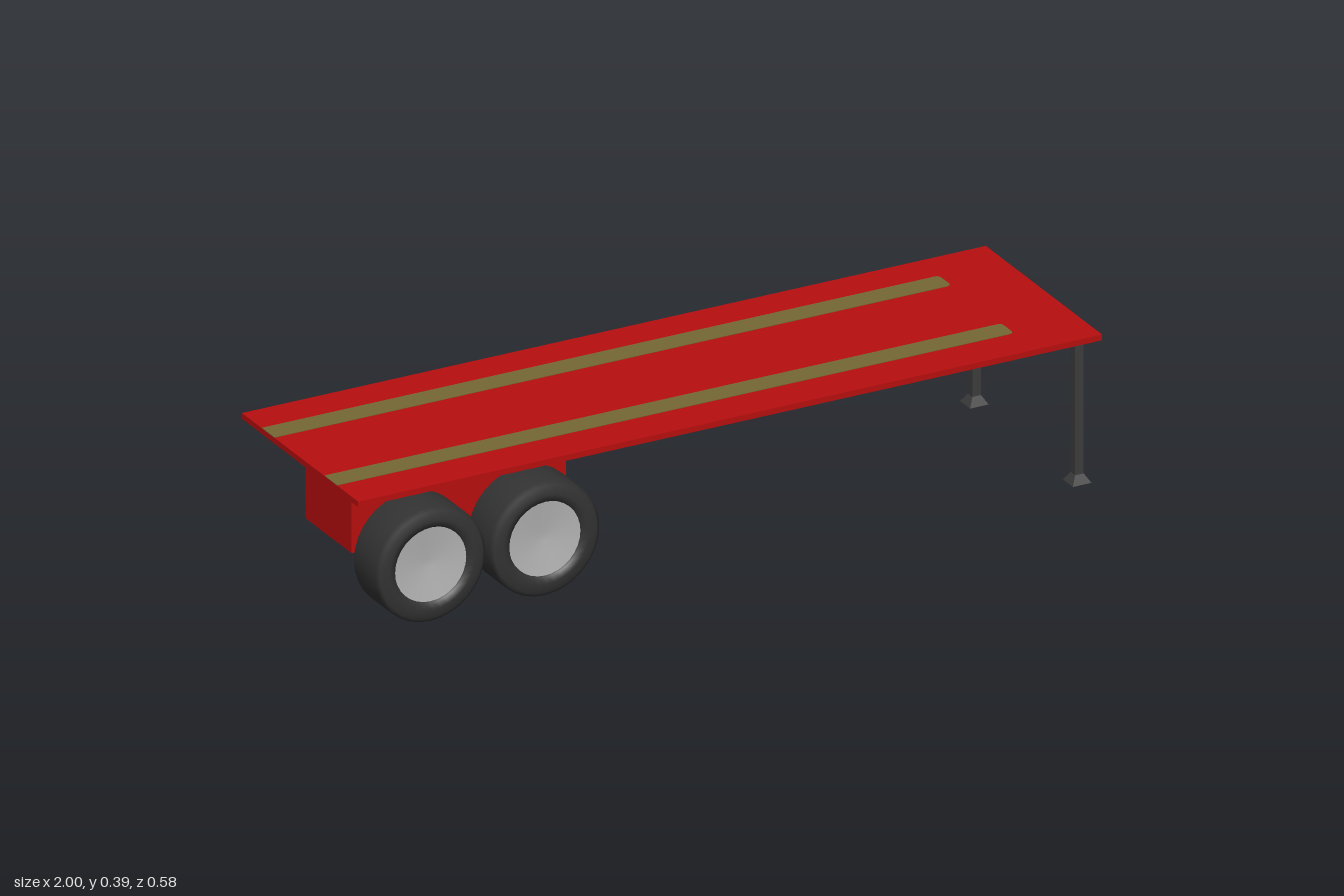
import * as THREE from 'three';

const mat = (name, color, side = THREE.FrontSide) => {
  const m = new THREE.MeshStandardMaterial({ color, side });
  m.name = name;
  return m;
};

export function createModel() {
  const red = mat('red paint', 0xb80e0e);
  const olive = mat('olive stripe', 0x766834);
  const steel = mat('dark steel', 0x3c3c3c);
  const rubber = mat('black rubber', 0x333333);
  const silver = mat('silver hub', 0xb4b4b4, THREE.DoubleSide);

  const model = new THREE.Group();
  model.name = 'flatbedTrailer';
  const add = (parent, name, geometry, material, x = 0, y = 0, z = 0) => {
    const mesh = new THREE.Mesh(geometry, material);
    mesh.name = name;
    mesh.position.set(x, y, z);
    parent.add(mesh);
    return mesh;
  };

  // Flat deck and the box carrying the axles
  add(model, 'deck', new THREE.BoxGeometry(2, 0.015, 0.576), red, 0, 0.3775, 0);
  add(model, 'axleBox', new THREE.BoxGeometry(0.577, 0.205, 0.228), red, -0.635, 0.2675, 0);

  // Deck stripes: square at the rear, softly rounded at the forward end
  const w = 0.031, r = 0.012, end = 0.82;
  const stripe = new THREE.Shape();
  stripe.moveTo(-1, -w);
  stripe.lineTo(end - r, -w);
  stripe.quadraticCurveTo(end, -w, end, -w + r);
  stripe.lineTo(end, w - r);
  stripe.quadraticCurveTo(end, w, end - r, w);
  stripe.lineTo(-1, w);
  stripe.closePath();
  const stripeGeo = new THREE.ExtrudeGeometry(stripe, { depth: 0.002, bevelEnabled: false, curveSegments: 4 });
  stripeGeo.rotateX(-Math.PI / 2);
  for (const z of [-0.158, 0.152]) add(model, 'deckStripe', stripeGeo, olive, 0, 0.3845, z);

  // Landing legs with flared square feet
  const footGeo = new THREE.CylinderGeometry(0.0115 * Math.SQRT2, 0.025 * Math.SQRT2, 0.022, 4, 1).toNonIndexed();
  footGeo.rotateY(Math.PI / 4);
  footGeo.computeVertexNormals();
  for (const z of [0.251, -0.258]) {
    const leg = new THREE.Group();
    leg.name = 'landingLeg';
    leg.position.set(0.953, 0, z);
    add(leg, 'legPost', new THREE.BoxGeometry(0.023, 0.35, 0.023), steel, 0, 0.195, 0);
    add(leg, 'legFoot', footGeo, steel, 0, 0.011, 0);
    model.add(leg);
  }

  // Tandem wheels along the front side
  const lathe = (pts) =>
    new THREE.LatheGeometry(pts.map(([a, b]) => new THREE.Vector2(a, b)), 32).rotateX(Math.PI / 2);
  const tireGeo = lathe([
    [0.094, -0.045], [0.098, -0.06], [0.115, -0.064], [0.138, -0.059], [0.148, -0.052],
    [0.148, 0.052], [0.138, 0.059], [0.115, 0.064], [0.098, 0.06], [0.094, 0.045],
  ]);
  const hubGeo = lathe([[0.096, 0.055], [0.05, 0.05], [0.012, 0.046], [0, 0.046]]);
  for (const x of [-0.78, -0.473]) {
    const wheel = new THREE.Group();
    wheel.name = 'wheel';
    wheel.position.set(x, 0.156, 0.186);
    add(wheel, 'tire', tireGeo, rubber);
    add(wheel, 'outerHub', hubGeo, silver);
    add(wheel, 'innerHub', hubGeo, silver).rotation.y = Math.PI;
    model.add(wheel);
  }
  return model;
}
